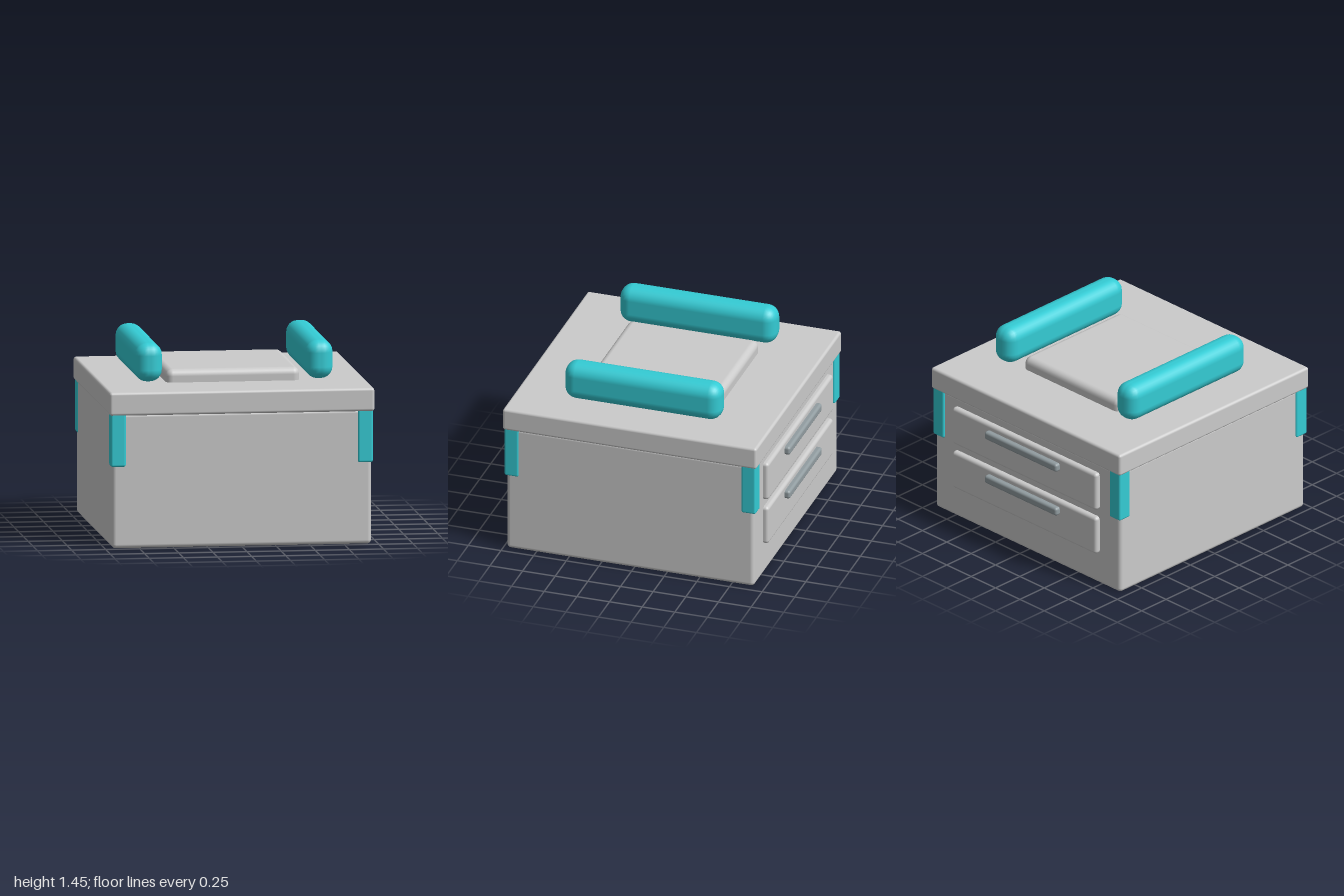
import * as THREE from 'three';
import { RoundedBoxGeometry } from 'three/addons/geometries/RoundedBoxGeometry.js';

const grey = new THREE.MeshStandardMaterial({ color: 0xcccccc });
const teal = new THREE.MeshStandardMaterial({ color: 0x34ccd5 });
const steel = new THREE.MeshStandardMaterial({ color: 0x929da1 });

// Rounded block given by its extents along each axis
function block(name, [x0, x1], [y0, y1], [z0, z1], radius, material, segments = 3) {
  const geometry = new RoundedBoxGeometry(x1 - x0, y1 - y0, z1 - z0, segments, radius);
  const mesh = new THREE.Mesh(geometry, material);
  mesh.position.set((x0 + x1) / 2, (y0 + y1) / 2, (z0 + z1) / 2);
  mesh.name = name;
  return mesh;
}

export function createModel() {
  const model = new THREE.Group();
  model.name = 'storageBox';

  // Main box, overhanging lid and the low pad on top
  model.add(block('body', [-0.95, 0.95], [0, 0.99], [-0.92, 0.975], 0.03, grey));
  model.add(block('lid', [-0.97, 0.97], [0.975, 1.145], [-0.945, 1], 0.02, grey));
  model.add(block('topPad', [-0.49, 0.49], [1.09, 1.24], [-0.48, 0.52], 0.05, grey));

  for (const side of [-1, 1]) {
    const word = side > 0 ? 'left' : 'right';
    const span = (a, b) => (side > 0 ? [a, b] : [-b, -a]);

    // Thick bolster raised above the lid
    model.add(block(word + 'Bolster', span(0.525, 0.725), [1.16, 1.445], [-0.575, 0.625], 0.09, teal));

    // Corner guards under the lid
    model.add(block(word + 'FrontCorner', span(0.85, 0.96), [0.6, 0.99], [0.88, 0.99], 0.015, teal));
    model.add(block(word + 'BackCorner', span(0.85, 0.96), [0.6, 0.99], [-0.935, -0.825], 0.015, teal));
  }

  // Two drawers in the back face, each with a bar handle
  [0.25, 0.61].forEach((y, i) => {
    const drawer = new THREE.Group();
    drawer.name = i ? 'upperDrawer' : 'lowerDrawer';
    drawer.add(block('drawerFront', [-0.74, 0.74], [y, y + 0.3], [-0.96, -0.88], 0.025, grey));
    drawer.add(block('drawerHandle', [-0.37, 0.37], [y + 0.19, y + 0.255], [-1, -0.94], 0.02, steel));
    model.add(drawer);
  });

  return model;
}
